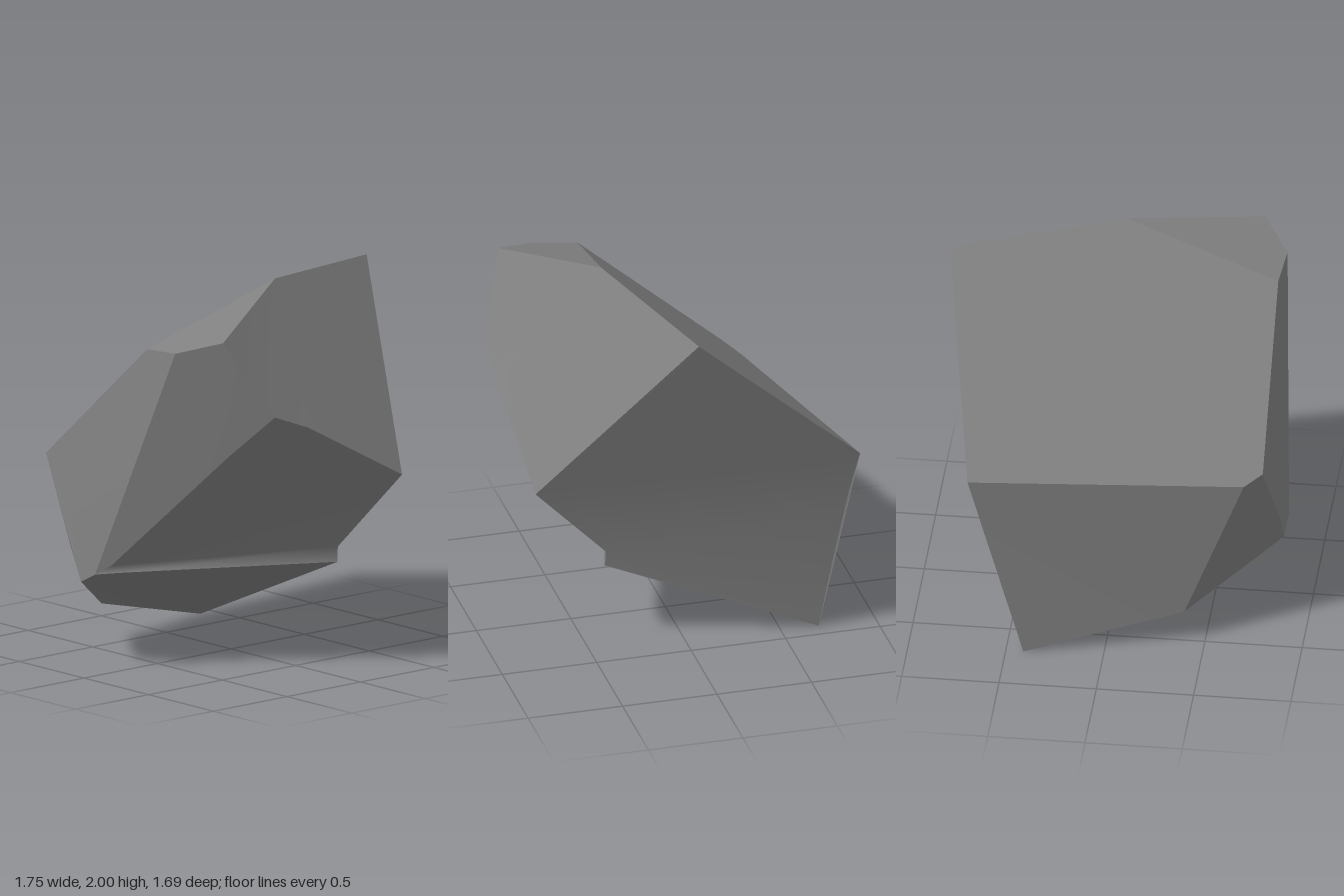
import * as THREE from 'three';

// Corners of the cut boulder
const P = {
  peak: [0, 2, 0.34], topRight: [0.87, 1.945, 0.06], rimRight: [0.82, 1.705, -0.2],
  backRight: [0.68, 1.11, -0.845], backRightLow: [0.53, 0.7, -0.79], foot: [0.41, 0, -0.7],
  backLeftA: [-0.71, 1.02, -0.59], backLeftB: [-0.8, 1.06, -0.52], rimLeft: [-0.79, 1.735, 0.25],
  leftTop: [-0.81, 1.755, 0.49], frontLeftTop: [-0.67, 1.825, 0.7],
  brow: [-0.44, 1.425, 0.84], browMid: [-0.22, 1.34, 0.845], browRight: [0.45, 0.985, 0.81],
  hollowLeft: [-0.56, 1.2, 0.62], hollowLow: [-0.84, 0.57, 0.03], hollowRight: [0.37, 0.55, 0.405],
  lipRight: [0.355, 0.475, 0.42], lipLeft: [-0.82, 0.54, 0.09],
  leftLow: [-0.88, 0.515, -0.05], leftBase: [-0.87, 0.455, -0.17], leftBend: [-0.86, 0.62, -0.26],
  backBase: [-0.4, 0.205, -0.545],
};

// Each facet is a list of convex loops; normals are smooth inside a facet and sharp between facets
const FACETS = {
  topFace: ['peak topRight rimRight backRight backLeftA backLeftB rimLeft'],
  topLeftFace: ['peak rimLeft leftTop frontLeftTop'],
  frontUpperFace: ['peak frontLeftTop brow browMid browRight topRight'],
  frontLeftFace: ['frontLeftTop leftTop leftLow hollowLow hollowLeft brow'],
  frontHollow: [
    'browRight browMid hollowLeft', 'browMid brow hollowLeft', 'browRight hollowLeft hollowLow',
    'browRight hollowLow hollowRight', 'hollowRight hollowLow lipLeft lipRight', 'hollowLow leftLow lipLeft',
  ],
  rightHollow: [
    'browRight hollowRight backRightLow backRight rimRight topRight',
    'hollowRight lipRight foot backRightLow',
  ],
  bottomFace: ['leftLow leftBase backBase foot lipRight lipLeft'],
  backFace: ['backRight backRightLow foot backBase backLeftA'],
  backLeftFace: ['backLeftA backBase leftBase leftBend backLeftB'],
  leftFace: ['backLeftB leftBend leftBase leftLow leftTop rimLeft'],
};

// Fan-triangulate the loops of one facet with shared corners
function facetGeometry(loops) {
  const names = [...new Set(loops.join(' ').split(' '))];
  const index = [];
  for (const loop of loops) {
    const ids = loop.split(' ').map((n) => names.indexOf(n));
    for (let i = 1; i < ids.length - 1; i++) index.push(ids[0], ids[i], ids[i + 1]);
  }
  const geometry = new THREE.BufferGeometry();
  geometry.setAttribute('position', new THREE.Float32BufferAttribute(names.flatMap((n) => P[n]), 3));
  geometry.setIndex(index);
  geometry.computeVertexNormals();
  return geometry;
}

export function createModel() {
  const stone = new THREE.MeshStandardMaterial({ color: 0x808080 });
  stone.name = 'stone grey';
  const rock = new THREE.Group();
  rock.name = 'rock';
  for (const [name, loops] of Object.entries(FACETS)) {
    const mesh = new THREE.Mesh(facetGeometry(loops), stone);
    mesh.name = name;
    rock.add(mesh);
  }
  return rock;
}
